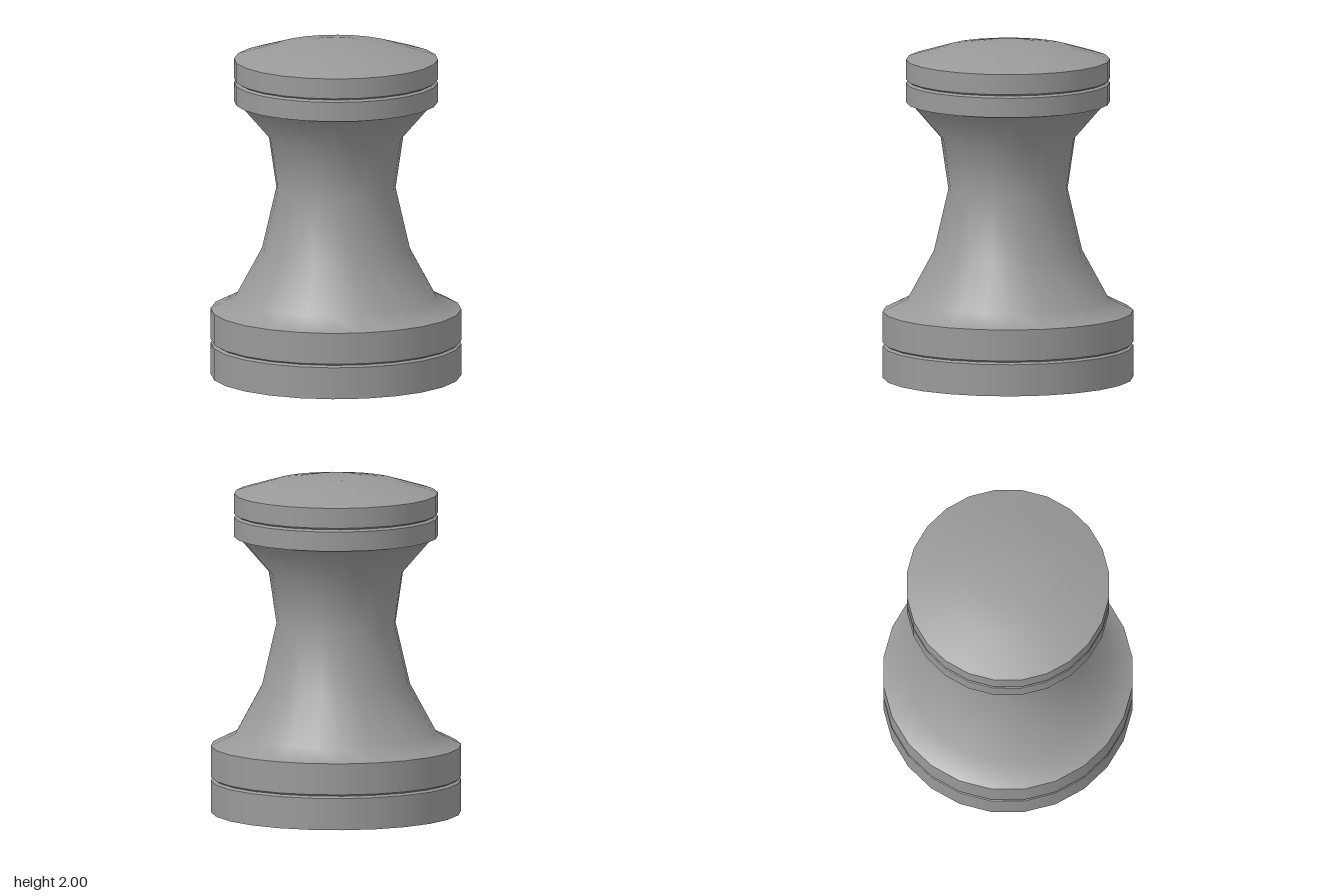
import * as THREE from 'three';

const SIDES = 24;

export function createModel() {
  const model = new THREE.Group();
  model.name = 'gamePiece';
  const material = new THREE.MeshStandardMaterial({ color: 0x999999, side: THREE.DoubleSide });

  // Each section is smooth in itself; edges between sections stay sharp. Points are [radius, height].
  const turn = (name, points, parent = model) => {
    const profile = points.map(([r, y]) => new THREE.Vector2(r, y));
    const geometry = new THREE.LatheGeometry(profile, SIDES);
    geometry.normalizeNormals(); // the lathe leaves its last row at uneven length
    const mesh = new THREE.Mesh(geometry, material);
    mesh.name = name;
    parent.add(mesh);
  };

  // Two straight bands separated by a thin V-shaped groove
  const groovedDrum = (name, radius, bottom, groove, top) => {
    const drum = new THREE.Group();
    drum.name = name;
    const low = groove - 0.011, high = groove + 0.011, inner = radius - 0.018;
    turn('lowerBand', [[radius, bottom], [radius, low]], drum);
    turn('grooveLower', [[radius, low], [inner, groove]], drum);
    turn('grooveUpper', [[inner, groove], [radius, high]], drum);
    turn('upperBand', [[radius, high], [radius, top]], drum);
    model.add(drum);
  };

  // Open-bottomed base
  groovedDrum('base', 0.74, 0, 0.2, 0.396);

  // Waisted body, flaring to the base and running smoothly into the underside of the head
  turn('body', [
    [0.74, 0.396], [0.595, 0.468], [0.437, 0.76],
    [0.352, 1.127], [0.397, 1.435], [0.577, 1.643], [0.602, 1.643],
  ]);

  // Head with its shallow domed top
  groovedDrum('head', 0.602, 1.643, 1.77, 1.9);
  turn('domedTop', [[0.602, 1.9], [0.37, 1.97], [0.16, 2], [0, 2]]);

  return model;
}
